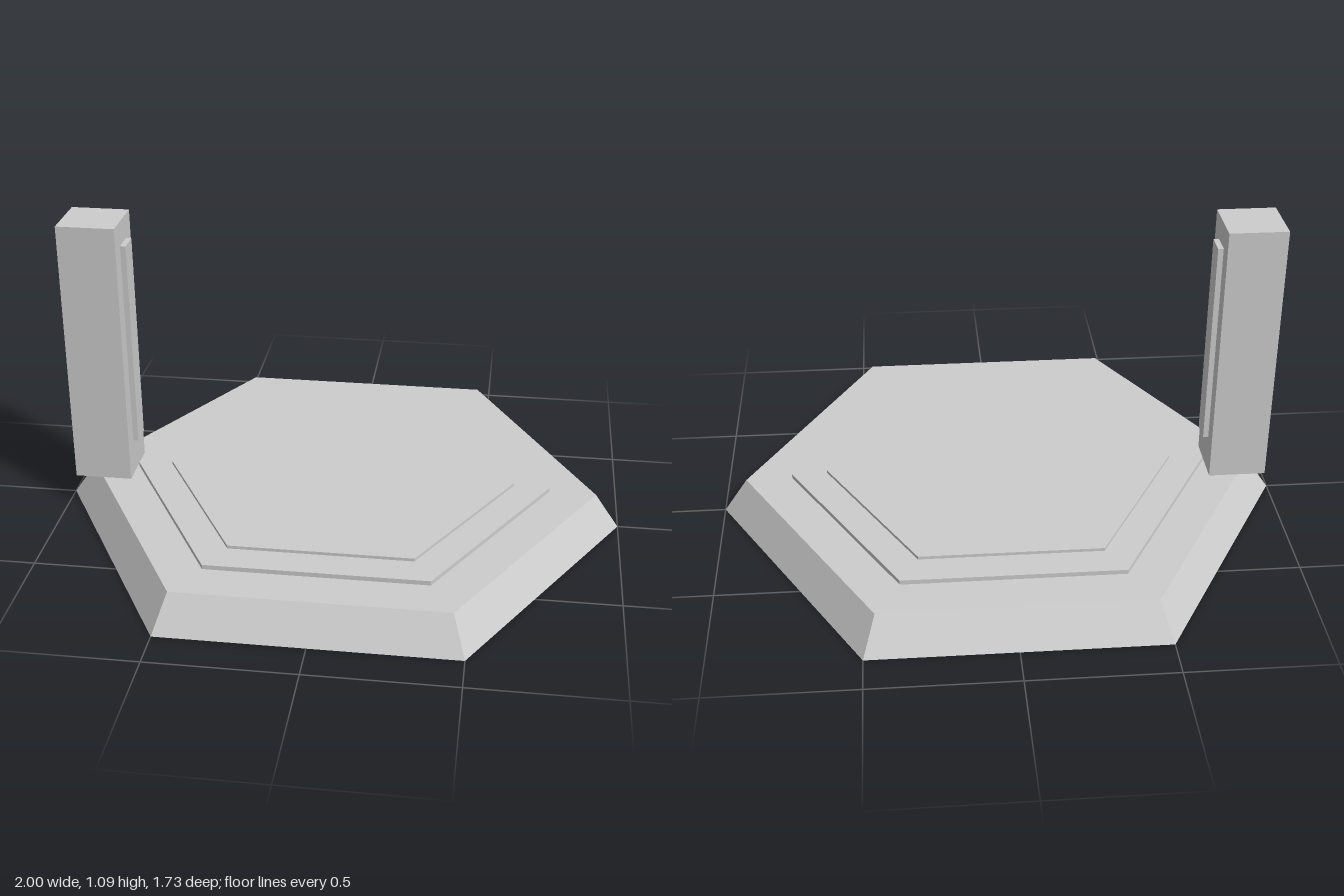
import * as THREE from 'three';

export function createModel() {
  const model = new THREE.Group();
  const grey = new THREE.MeshStandardMaterial({ color: 0xcccccc, flatShading: true, side: THREE.DoubleSide });
  grey.name = 'light grey';

  const add = (name, geometry, x = 0, y = 0, z = 0) => {
    const mesh = new THREE.Mesh(geometry, grey);
    mesh.name = name;
    mesh.position.set(x, y, z);
    model.add(mesh);
  };

  // Six-sided shell with a top and an open underside, corners on the x axis
  const hexShell = (bottomRadius, topRadius, height) => new THREE.LatheGeometry([
    new THREE.Vector2(bottomRadius, 0),
    new THREE.Vector2(topRadius, height),
    new THREE.Vector2(0, height),
  ], 6, Math.PI / 2);

  // Sloped base with two thin raised steps
  add('base', hexShell(1, 0.915, 0.125), 0, 0, 0);
  add('lowerStep', hexShell(0.75, 0.75, 0.016), 0, 0.125, 0);
  add('upperStep', hexShell(0.624, 0.624, 0.011), 0, 0.141, 0);

  // Square post on the right corner, with a raised panel facing the middle
  add('post', new THREE.BoxGeometry(0.204, 0.96, 0.2), -0.857, 0.605, 0);
  add('postPanel', new THREE.BoxGeometry(0.02, 0.75, 0.08), -0.746, 0.627, 0);

  return model;
}
